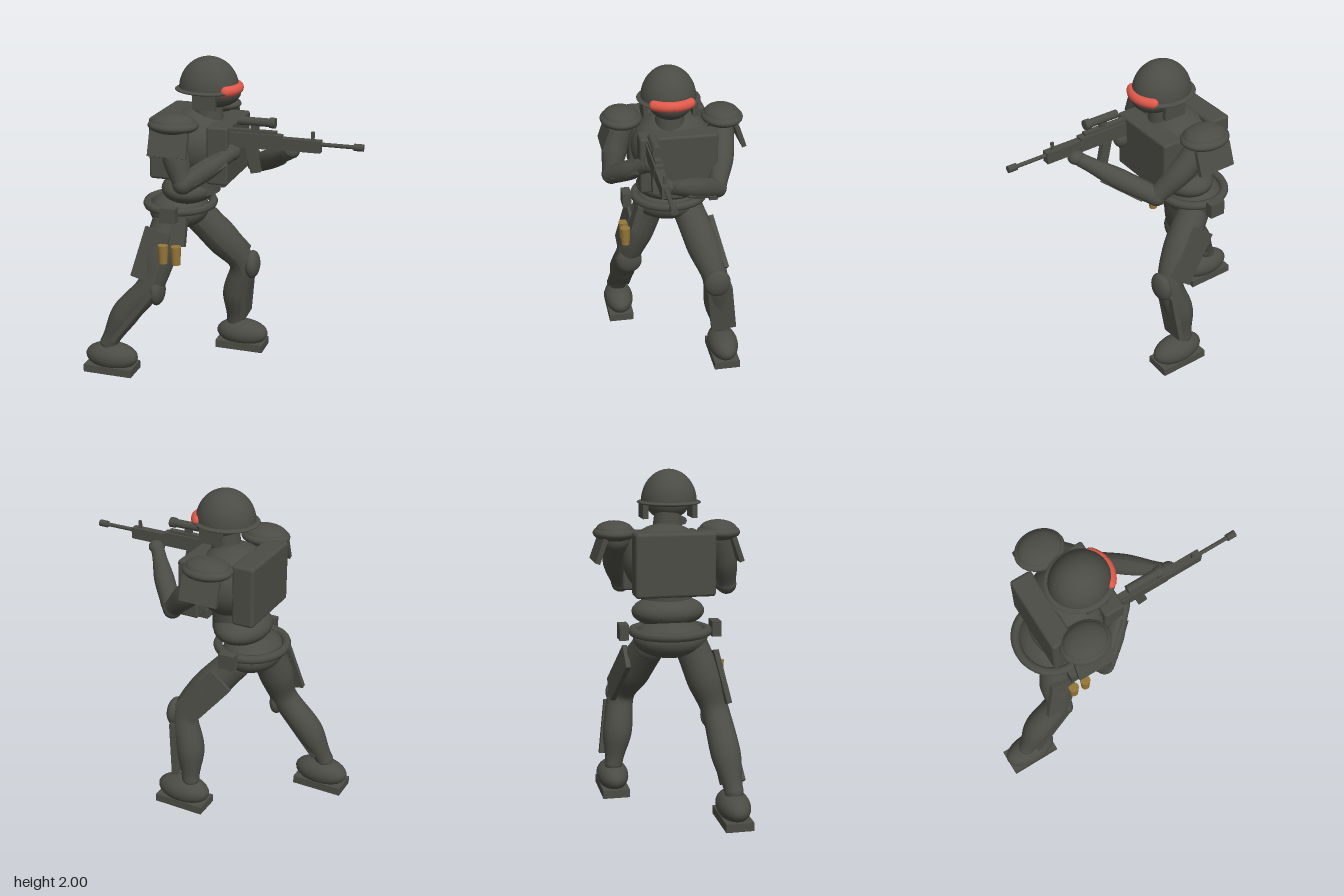
import * as THREE from 'three';
import { RoundedBoxGeometry } from 'three/addons/geometries/RoundedBoxGeometry.js';

export function createModel() {
  const model = new THREE.Group();
  model.name = 'armouredSoldier';
  const mat = (name, color) => Object.assign(new THREE.MeshStandardMaterial({ color }), { name });
  const armour = mat('darkArmour', 0x4b4c45);
  const red = mat('redVisor', 0xe0594a);
  const gold = mat('brassPouch', 0x967638);
  const V = (p) => new THREE.Vector3(...p);

  function add(name, geo, pos = [0, 0, 0], rot = [0, 0, 0], material = armour) {
    const m = new THREE.Mesh(geo, material);
    m.name = name;
    m.position.set(...pos);
    m.rotation.set(...rot);
    model.add(m);
    return m;
  }
  const ball = (name, pos, r, material) =>
    add(name, new THREE.SphereGeometry(1, 32, 20).scale(...r), pos, [0, 0, 0], material);
  const box = (name, pos, size, rot) => add(name, new THREE.BoxGeometry(...size), pos, rot);
  const rod = (name, pos, r, len) =>
    add(name, new THREE.CylinderGeometry(r, r, len, 16), pos, [0, 0, Math.PI / 2]);

  // Plate running from a to b, w across and d deep (towards z)
  function plate(name, a, b, w, d) {
    const A = V(a), B = V(b);
    const y = B.clone().sub(A).normalize();
    const x = y.clone().cross(new THREE.Vector3(0, 0, 1)).normalize();
    const z = x.clone().cross(y);
    const m = box(name, A.clone().lerp(B, 0.5).toArray(), [w, A.distanceTo(B), d]);
    m.quaternion.setFromRotationMatrix(new THREE.Matrix4().makeBasis(x, y, z));
  }

  // Limb swept along points with a radius at each point
  function limb(name, pts, radii) {
    const curve = new THREE.CatmullRomCurve3(pts.map(V));
    const n = 32, sides = 18;
    const geo = new THREE.TubeGeometry(curve, n, 1, sides);
    const p = geo.attributes.position, v = new THREE.Vector3();
    for (let i = 0; i <= n; i++) {
      const c = curve.getPointAt(i / n);
      const t = curve.getUtoTmapping(i / n) * (radii.length - 1);
      const k = Math.min(Math.floor(t), radii.length - 2);
      const r = THREE.MathUtils.lerp(radii[k], radii[k + 1], THREE.MathUtils.smoothstep(t - k, 0, 1));
      for (let j = 0; j <= sides; j++) {
        const id = i * (sides + 1) + j;
        v.fromBufferAttribute(p, id).sub(c).multiplyScalar(r).add(c);
        p.setXYZ(id, v.x, v.y, v.z);
      }
    }
    geo.computeVertexNormals();
    add(name, geo);
    for (const e of [0, pts.length - 1]) {
      const r = radii[e];
      ball(name + 'End', pts[e], [r, r, r]);
    }
  }

  // Head and helmet
  add('helmetDome', new THREE.SphereGeometry(1, 40, 16, 0, Math.PI * 2, 0, Math.PI / 2).scale(0.18, 0.19, 0.165),
    [-0.11, 1.81, 0.02]);
  ball('helmetBrim', [-0.11, 1.807, 0.02], [0.205, 0.022, 0.19]);
  ball('face', [-0.065, 1.8, 0.02], [0.15, 0.1, 0.13]);
  add('neck', new THREE.CylinderGeometry(0.075, 0.095, 0.16, 20), [-0.12, 1.69, 0.01]);
  for (const s of [-1, 1]) box('earGuard', [-0.09, 1.755, 0.02 + s * 0.148], [0.14, 0.085, 0.032]);

  // Visor wraps the front of the helmet
  const arc = 1.5;
  add('visor', new THREE.TorusGeometry(0.155, 0.032, 12, 24, arc).rotateZ(-arc / 2).rotateX(Math.PI / 2),
    [-0.09, 1.817, 0.02], [0, 0, 0], red);
  for (const s of [-1, 1]) {
    const a = s * arc / 2;
    ball('visorEnd', [-0.09 + 0.155 * Math.cos(a), 1.817, 0.02 + 0.155 * Math.sin(a)], [0.03, 0.032, 0.03], red);
  }

  // Torso
  ball('chest', [-0.18, 1.47, -0.015], [0.22, 0.22, 0.255]);
  add('chestPlate', new RoundedBoxGeometry(0.13, 0.35, 0.47, 2, 0.015), [0, 1.45, -0.015]);
  add('backpack', new RoundedBoxGeometry(0.14, 0.375, 0.475, 3, 0.02), [-0.348, 1.472, 0]);
  add('waistColumn', new THREE.CylinderGeometry(0.15, 0.15, 0.16, 24), [-0.21, 1.24, -0.015]);
  for (let i = -1; i <= 1; i++) box('chestPouch', [-0.03, 1.265, -0.01 + i * 0.1], [0.1, 0.055, 0.085]);
  ball('waist', [-0.25, 1.18, -0.015], [0.168, 0.095, 0.217]);
  ball('pelvis', [-0.32, 1.03, -0.015], [0.18, 0.115, 0.22]);
  add('belt', new THREE.TorusGeometry(0.203, 0.027, 8, 40).rotateX(Math.PI / 2).scale(1, 1, 1.08),
    [-0.312, 1.073, -0.015]);
  for (const s of [-1, 1]) box('beltPouch', [-0.29, 1.075, -0.015 + s * 0.277], [0.1, 0.092, 0.055]);

  // Shoulder pads with rim and hanging plate
  for (const [x, z, s] of [[-0.24, 0.29, 1], [-0.17, -0.318, -1]]) {
    ball('shoulderPad', [x, 1.655, z], [0.135, 0.055, 0.11]);
    ball('shoulderRim', [x, 1.64, z], [0.152, 0.05, 0.126]);
    plate('shoulderPlate', [x, 1.615, z + s * 0.068], [x, 1.475, z + s * 0.118], 0.235, 0.028);
  }

  // Arms holding the rifle
  limb('rightUpperArm', [[-0.24, 1.6, 0.29], [-0.21, 1.46, 0.335], [-0.16, 1.31, 0.365]], [0.08, 0.078, 0.058]);
  limb('rightForearm', [[-0.16, 1.31, 0.365], [-0.05, 1.38, 0.28], [0.07, 1.465, 0.18]], [0.06, 0.062, 0.045]);
  ball('rightHand', [0.08, 1.475, 0.165], [0.05, 0.055, 0.045]);
  plate('rightForearmPlate', [-0.11, 1.345, 0.37], [0.05, 1.445, 0.235], 0.085, 0.025);
  limb('leftUpperArm', [[-0.17, 1.6, -0.31], [-0.03, 1.45, -0.29], [0.11, 1.3, -0.235]], [0.08, 0.075, 0.056]);
  limb('leftForearm', [[0.11, 1.295, -0.235], [0.25, 1.38, -0.08], [0.4, 1.475, 0.1]], [0.058, 0.062, 0.042]);
  ball('leftHand', [0.425, 1.495, 0.125], [0.05, 0.042, 0.05]);
  plate('leftForearmPlate', [0.17, 1.31, -0.205], [0.33, 1.41, -0.015], 0.085, 0.025);

  // Rifle
  const gz = 0.158;
  box('stock', [0, 1.545, gz], [0.14, 0.085, 0.045]);
  box('receiver', [0.21, 1.553, gz], [0.34, 0.087, 0.055]);
  box('topRail', [0.18, 1.607, gz], [0.33, 0.018, 0.035]);
  box('handguard', [0.49, 1.547, gz], [0.24, 0.07, 0.05]);
  rod('barrel', [0.71, 1.56, gz], 0.012, 0.22);
  rod('muzzle', [0.828, 1.56, gz], 0.021, 0.055);
  box('frontSight', [0.56, 1.605, gz], [0.018, 0.05, 0.014]);
  plate('magazine', [0.19, 1.52, gz], [0.225, 1.36, gz], 0.06, 0.035);
  plate('pistolGrip', [0.07, 1.52, gz], [0.045, 1.42, gz], 0.045, 0.035);
  box('scopeMount', [0.215, 1.633, gz], [0.045, 0.05, 0.025]);
  rod('scope', [0.22, 1.664, gz], 0.025, 0.21);
  rod('scopeLens', [0.322, 1.664, gz], 0.031, 0.034);

  // Legs, trailing right and leading left
  limb('rightLeg', [[-0.35, 0.97, 0.11], [-0.385, 0.8, 0.175], [-0.425, 0.6, 0.235], [-0.585, 0.4, 0.255], [-0.7, 0.19, 0.28]],
    [0.1, 0.108, 0.082, 0.088, 0.055]);
  ball('rightKneePad', [-0.38, 0.565, 0.24], [0.045, 0.092, 0.085]);
  plate('rightThighPlate', [-0.37, 0.955, 0.23], [-0.45, 0.65, 0.295], 0.165, 0.03);
  plate('rightShinPlate', [-0.4, 0.56, 0.25], [-0.65, 0.23, 0.285], 0.032, 0.15);
  limb('leftLeg', [[-0.25, 0.97, -0.13], [-0.11, 0.8, -0.195], [0.015, 0.61, -0.255], [-0.03, 0.4, -0.285], [-0.05, 0.19, -0.315]],
    [0.1, 0.108, 0.082, 0.09, 0.055]);
  ball('leftKneePad', [0.083, 0.61, -0.255], [0.048, 0.092, 0.085]);
  plate('leftThighPlate', [-0.23, 0.91, -0.26], [-0.01, 0.65, -0.32], 0.165, 0.03);
  plate('leftShinPlate', [0.06, 0.56, -0.275], [0.022, 0.23, -0.315], 0.035, 0.16);

  // Boots
  for (const [x, z] of [[-0.685, 0.28], [-0.003, -0.315]]) {
    ball('boot', [x + 0.003, 0.102, z], [0.172, 0.088, 0.097]);
    box('bootSole', [x, 0.025, z], [0.32, 0.05, 0.165]);
  }

  // Hip pouches on a hanging strap
  plate('hipStrap', [-0.25, 1.04, 0.18], [-0.25, 0.87, 0.23], 0.1, 0.04);
  for (const x of [-0.323, -0.24]) {
    add('hipPouch', new THREE.CylinderGeometry(0.032, 0.026, 0.115, 16), [x, 0.826, 0.278], [0, 0, 0], gold);
  }
  return model;
}
